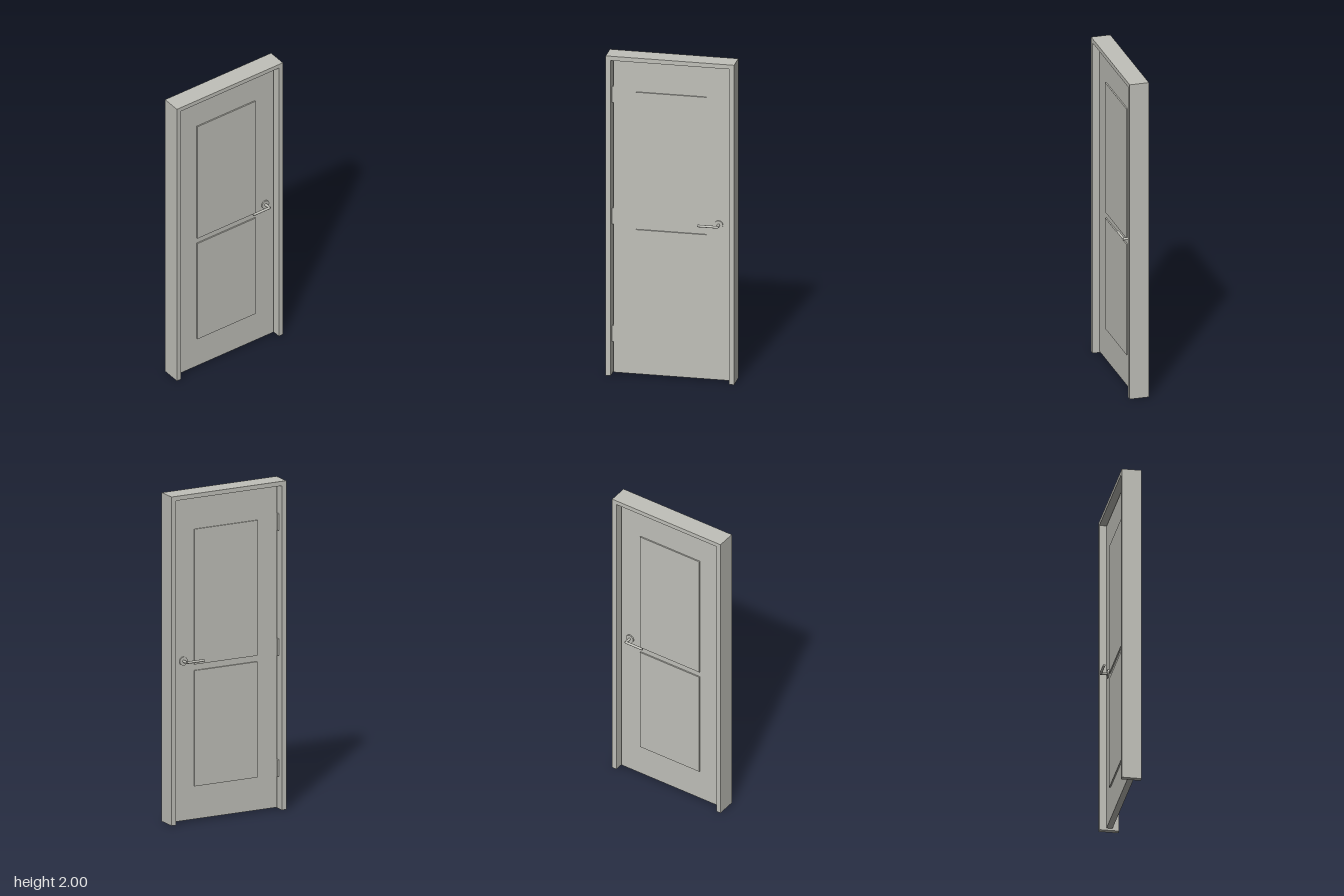
import * as THREE from 'three';

export function createModel() {
  const model = new THREE.Group();
  model.name = 'door';
  const grey = new THREE.MeshStandardMaterial({ color: 0xc0c0b9 });
  grey.name = 'warm grey';

  const add = (name, geometry, x, y, z, parent = model) => {
    const mesh = new THREE.Mesh(geometry, grey);
    mesh.name = name;
    mesh.position.set(x, y, z);
    parent.add(mesh);
    return mesh;
  };

  // Frame: an upside-down U, open at the floor
  const W = 0.386, IN = 0.356, H = 2, HEAD = 1.973, D = 0.118;
  const outline = new THREE.Shape([
    [-W, 0], [-IN, 0], [-IN, HEAD], [IN, HEAD], [IN, 0], [W, 0], [W, H], [-W, H],
  ].map(([x, y]) => new THREE.Vector2(x, y)));
  add('frame', new THREE.ExtrudeGeometry(outline, { depth: D, bevelEnabled: false }), 0, 0, -D / 2);

  // Door leaf, with a narrow gap all around
  const T = 0.036, bottom = 0.009, top = 1.966;
  add('doorLeaf', new THREE.BoxGeometry(0.696, top - bottom, T), 0, (top + bottom) / 2, 0);

  for (const side of [1, -1]) {
    const face = side * T / 2;

    // Raised panels on both faces
    for (const [name, low, high] of [['lowerPanel', 0.21, 0.914], ['upperPanel', 0.951, 1.774]]) {
      add(name, new THREE.BoxGeometry(0.424, high - low, 0.016), 0, (low + high) / 2, face);
    }

    // Lever handle: rosette, neck and horizontal lever
    const handle = new THREE.Group();
    handle.name = side > 0 ? 'frontHandle' : 'backHandle';
    handle.position.set(0.285, 0.98, face);
    model.add(handle);
    const rosette = new THREE.CylinderGeometry(0.026, 0.026, 0.008, 32).rotateX(Math.PI / 2);
    add('rosette', rosette, 0, 0, side * 0.004, handle);
    const neck = new THREE.CylinderGeometry(0.008, 0.008, 0.049, 24).rotateX(Math.PI / 2);
    add('neck', neck, 0, 0, side * 0.0245, handle);
    const lever = new THREE.CylinderGeometry(0.0075, 0.0075, 0.118, 24).rotateZ(Math.PI / 2);
    add('lever', lever, -0.059, 0, side * 0.046, handle);
  }

  // Hinges: a leaf in the gap and a knuckle at the back
  for (const y of [0.249, 0.984, 1.746]) {
    const hinge = new THREE.Group();
    hinge.name = 'hinge';
    hinge.position.set(-0.352, y, 0);
    model.add(hinge);
    add('hingeLeaf', new THREE.BoxGeometry(0.008, 0.1, 0.036), 0, 0, -0.002, hinge);
    add('hingeKnuckle', new THREE.CylinderGeometry(0.006, 0.006, 0.1, 16), 0.001, 0, -0.024, hinge);
  }

  return model;
}
